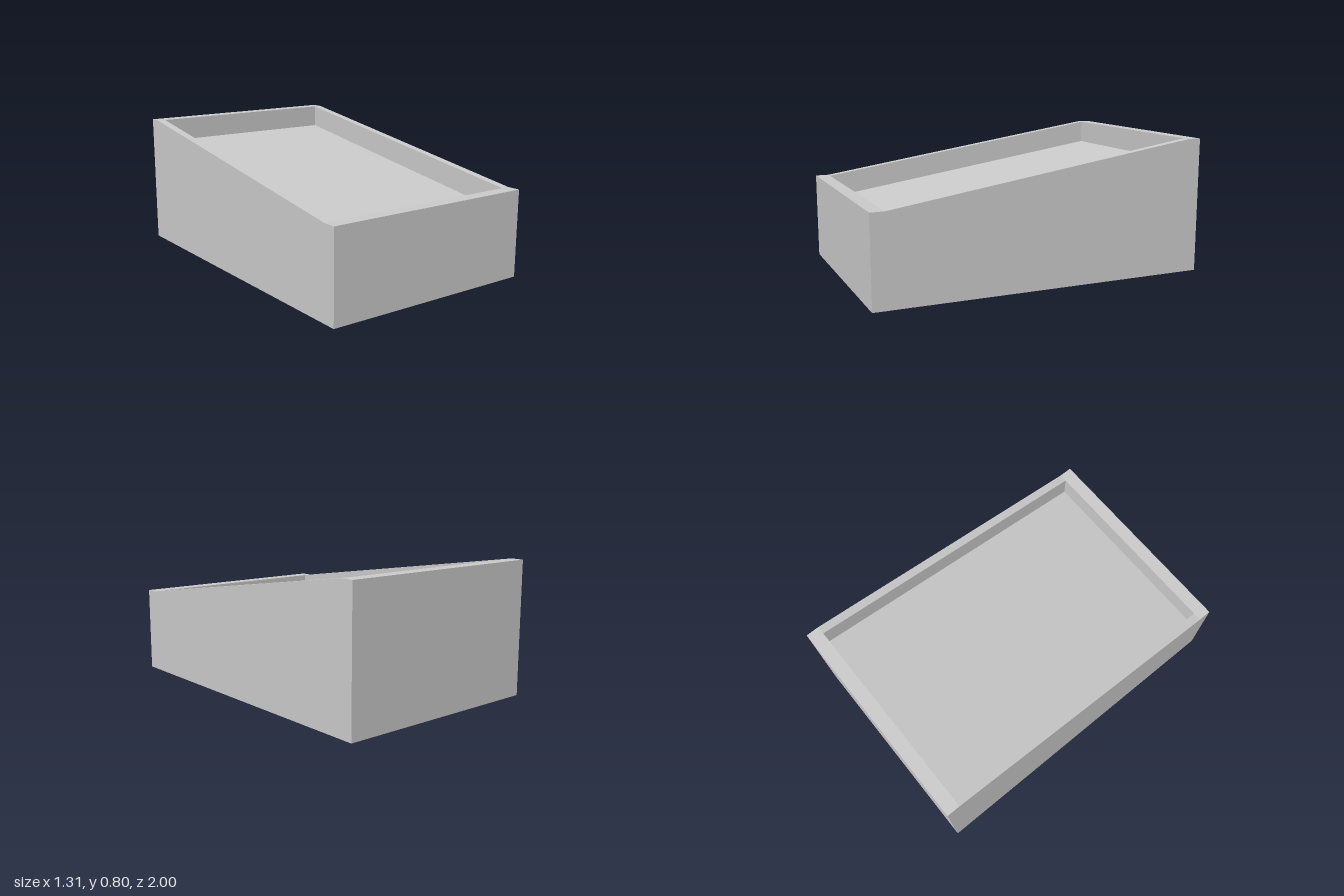
import * as THREE from 'three';

// Half sizes, and [z, y] points of the side profile
const OUT = 0.655, IN = 0.605;
const frontLip = [0.92, 0.52], backLip = [-0.92, 0.8];
const outer = [backLip, [-1, 0.8], [-1, 0], [1, 0], [1, 0.52], frontLip];
const well = [frontLip, [0.92, 0.38], [-0.92, 0.66], backLip];

const at = (x, [z, y]) => [x, y, z];

// Sweep an open [z, y] path straight across from x0 to x1
function strip(path, x0, x1) {
  const out = [];
  for (let i = 0; i < path.length - 1; i++) {
    const a = at(x0, path[i]), b = at(x1, path[i]);
    const c = at(x1, path[i + 1]), d = at(x0, path[i + 1]);
    out.push(a, b, c, a, c, d);
  }
  return out;
}

// Flat face at x, fanned from the first point; flip turns it round
function face(points, x, flip) {
  const out = [];
  for (let i = 1; i < points.length - 1; i++) {
    const [b, c] = flip ? [i + 1, i] : [i, i + 1];
    out.push(at(x, points[0]), at(x, points[b]), at(x, points[c]));
  }
  return out;
}

export function createModel() {
  const group = new THREE.Group();
  group.name = 'slopedTray';
  const material = new THREE.MeshStandardMaterial({ color: 0xcccccc, flatShading: true });

  const add = (name, corners) => {
    const geometry = new THREE.BufferGeometry();
    geometry.setAttribute('position', new THREE.Float32BufferAttribute(corners.flat(), 3));
    geometry.computeVertexNormals();
    const mesh = new THREE.Mesh(geometry, material);
    mesh.name = name;
    group.add(mesh);
  };

  // Back rim, back wall, base, front wall and front rim, then both side walls
  const outline = [frontLip, ...outer.slice(0, -1)];
  add('outerShell', [
    ...strip(outer, -OUT, OUT),
    ...face(outline, OUT, true),
    ...face(outline, -OUT, false),
  ]);

  // Sloping rims along both sides
  const slope = [frontLip, backLip];
  add('sideRims', [...strip(slope, -OUT, -IN), ...strip(slope, IN, OUT)]);

  // Recess whose floor runs parallel to the sloping rim
  add('recess', [
    ...strip(well, -IN, IN),
    ...face(well, IN, true),
    ...face(well, -IN, false),
  ]);

  return group;
}
